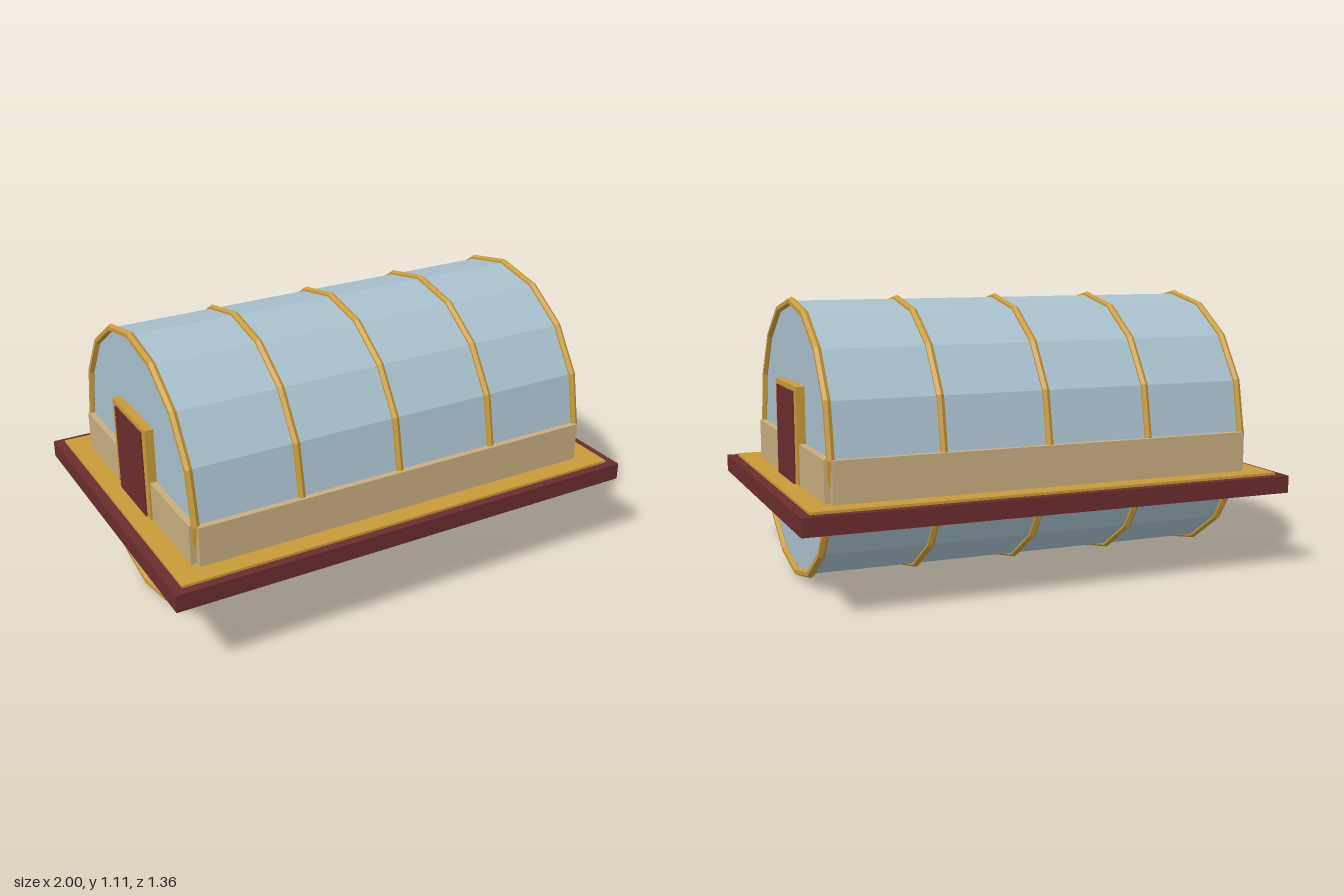
import * as THREE from 'three';

const AXIS_Y = 0.557; // height of the barrel's axis
const BARREL_R = 0.54;
const HALF_LENGTH = 0.852;

function material(name, color, flat = false) {
  const m = new THREE.MeshStandardMaterial({ color, flatShading: flat });
  m.name = name;
  return m;
}

export function createModel() {
  const model = new THREE.Group();
  model.name = 'barrelGreenhouse';

  const maroon = material('maroon', 0x6b2c2e);
  const gold = material('gold', 0xc89b3a, true);
  const sand = material('sand', 0xc8ad7f);
  const glass = material('paleBlueGlass', 0xa8c0cd, true);

  const add = (name, geometry, mat, x, y, z) => {
    const mesh = new THREE.Mesh(geometry, mat);
    mesh.name = name;
    mesh.position.set(x, y, z);
    model.add(mesh);
    return mesh;
  };
  // Box given by its width, bottom, top and depth
  const block = (name, mat, w, y0, y1, d, x = 0, z = 0) =>
    add(name, new THREE.BoxGeometry(w, y1 - y0, d), mat, x, (y0 + y1) / 2, z);

  // Platform with a raised floor
  block('platform', maroon, 2, 0.32, 0.39, 1.36);
  block('floor', gold, 1.92, 0.388, 0.4, 1.29);

  // Sixteen-sided glass barrel lying along x
  const barrel = new THREE.CylinderGeometry(BARREL_R, BARREL_R, HALF_LENGTH * 2, 16);
  barrel.rotateZ(Math.PI / 2);
  add('glassBarrel', barrel, glass, 0, AXIS_Y, 0);

  // Hoops around the barrel
  const hoop = new THREE.TorusGeometry(BARREL_R, 0.016, 6, 16);
  hoop.rotateY(Math.PI / 2);
  for (let i = -2; i <= 2; i++) {
    add('hoop', hoop, gold, (i * 0.855) / 2, AXIS_Y, 0);
  }

  for (const s of [-1, 1]) {
    // Low walls around the barrel, open at the corners
    block('sideWall', sand, 1.71, 0.4, 0.56, 0.03, 0, s * 0.55);
    block('endWall', sand, 0.03, 0.4, 0.56, 1.07, s * 0.864, 0);

    // Door at each end
    block('doorFrame', gold, 0.04, 0.4, 0.78, 0.34, s * 0.867, 0);
    block('door', maroon, 0.008, 0.4, 0.76, 0.27, s * 0.889, 0);
  }

  return model;
}
